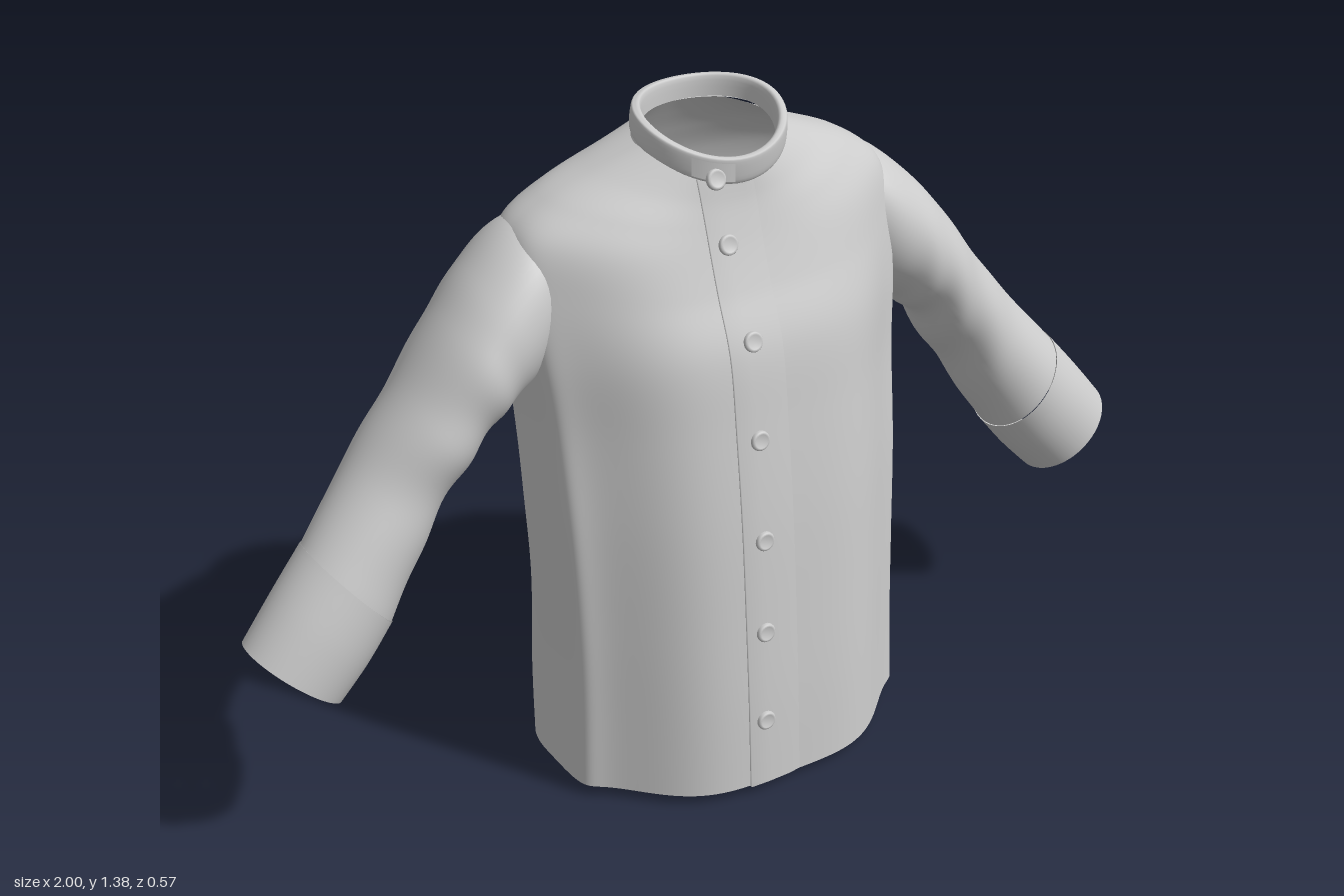
import * as THREE from 'three';

const cloth = new THREE.MeshStandardMaterial({ color: 0xcccccc, side: THREE.DoubleSide });

// Grid surface from fn(u, v) -> [x, y, z]; closed surfaces share their seam vertices
function surface(name, fn, nu, nv, closed = true) {
  const pos = [], idx = [], cols = closed ? nu : nu + 1;
  for (let j = 0; j <= nv; j++)
    for (let i = 0; i < cols; i++) pos.push(...fn(i / nu, j / nv));
  for (let j = 0; j < nv; j++)
    for (let i = 0; i < nu; i++) {
      const a = j * cols + i, b = j * cols + (i + 1) % cols, c = a + cols, d = b + cols;
      idx.push(a, c, b, b, c, d);
    }
  const g = new THREE.BufferGeometry();
  g.setAttribute('position', new THREE.Float32BufferAttribute(pos, 3));
  g.setIndex(idx);
  g.computeVertexNormals();
  const m = new THREE.Mesh(g, cloth);
  m.name = name;
  return m;
}

// Smooth interpolation through a list of sections
function sample(rows, v) {
  const n = rows.length - 1, f = Math.min(v, 1) * n, i = Math.min(Math.floor(f), n - 1), t = f - i;
  const p = k => rows[Math.max(0, Math.min(n, k))];
  return rows[0].map((_, k) => {
    const a = p(i - 1)[k], b = p(i)[k], c = p(i + 1)[k], d = p(i + 2)[k];
    return b + 0.5 * t * (c - a + t * (2 * a - 5 * b + 4 * c - d + t * (3 * (b - c) + d - a)));
  });
}
const spow = (x, p) => Math.sign(x) * Math.abs(x) ** p;
const bump = (x, w) => Math.exp(-(x * x) / (w * w));

// Body sections: y at side, front, back; half width; z at front, back, side; roundness of front, back
const BODY = [
  [0.025, 0.02, 0.0, 0.385, 0.28, -0.25, -0.03, 0.55, 0.8],
  [0.2, 0.2, 0.2, 0.38, 0.272, -0.275, -0.03, 0.55, 0.8],
  [0.38, 0.38, 0.38, 0.38, 0.26, -0.245, -0.03, 0.55, 0.8],
  [0.6, 0.6, 0.6, 0.385, 0.243, -0.255, -0.04, 0.55, 0.8],
  [0.8, 0.8, 0.8, 0.392, 0.22, -0.27, -0.06, 0.58, 0.8],
  [0.95, 0.95, 0.95, 0.405, 0.198, -0.28, -0.07, 0.62, 0.8],
  [1.08, 1.06, 1.08, 0.415, 0.155, -0.275, -0.08, 0.7, 0.8],
  [1.175, 1.13, 1.17, 0.4, 0.13, -0.25, -0.085, 0.8, 0.82],
  [1.232, 1.18, 1.24, 0.33, 0.115, -0.215, -0.08, 0.9, 0.88],
  [1.275, 1.22, 1.29, 0.235, 0.105, -0.185, -0.06, 0.95, 0.95],
  [1.312, 1.255, 1.335, 0.15, 0.1, -0.155, -0.03, 1, 1],
];
function bodyPoint(angle, v) {
  const [ys, yf, yb, hx, zf, zb, zs, pf, pb] = sample(BODY, v);
  const c = Math.cos(angle), s = Math.sin(angle), p = s > 0 ? pf : pb;
  const k = spow(c, p), x = hx * k, y = ys + ((s > 0 ? yf : yb) - ys) * s * s;
  let z = zs + (s > 0 ? zf - zs : zs - zb) * spow(s, p);
  if (s > 0) {
    // front panels slant back from the centre to a corner at each side
    z -= (zf - zs) * 2.1 * (1 - pf) * k ** 4 * (1 - k ** 4);
  } else {
    // folds swagging across the back between the armholes
    z += 0.013 * s * s * bump(y - 0.42, 0.28) * Math.sin(24 * (y - 0.8 * Math.hypot(x - 0.12, 0.1)));
  }
  return [x, y, z];
}
// Point on the front of the body at a chosen x
function frontPoint(x, v, lift = 0) {
  const s = sample(BODY, v);
  const [px, py, pz] = bodyPoint(Math.acos(spow(x / s[3], 1 / s[7])), v);
  return [px, py, pz + lift];
}

// Sleeve sections: upper edge x, y; lower edge x, y; half depth; centre z
const SLEEVE = [
  [0.31, 1.215, 0.36, 0.92, 0.11, -0.095],
  [0.40, 1.183, 0.385, 0.88, 0.138, -0.095],
  [0.48, 1.118, 0.43, 0.855, 0.142, -0.085],
  [0.55, 1.04, 0.48, 0.82, 0.138, -0.075],
  [0.64, 0.92, 0.545, 0.745, 0.126, -0.075],
  [0.74, 0.795, 0.63, 0.61, 0.116, -0.073],
  [0.86, 0.655, 0.715, 0.475, 0.108, -0.045],
];
const CUFF = [
  [0.86, 0.655, 0.715, 0.475, 0.108, -0.045],
  [0.93, 0.575, 0.77, 0.405, 0.106, -0.038],
  [1.0, 0.49, 0.83, 0.34, 0.1, -0.033],
];
function sleevePoint(rows, side, u, v, grow, wrinkle) {
  const [tx, ty, bx, by, hz, cz] = sample(rows, v), a = u * Math.PI * 2;
  const env = Math.sin(Math.PI * v * v) ** 2;
  const under = 0.5 - 0.5 * Math.cos(a);
  const r = grow + wrinkle * env * (0.2 + under) * Math.sin(30 * v + 2.2 * Math.sin(a + side) + side);
  const c = Math.cos(a) * r, s = Math.sin(a) * r;
  return [side * ((tx + bx) / 2 + c * (tx - bx) / 2), (ty + by) / 2 + c * (ty - by) / 2, cz + s * hz];
}

// Collar cross-section: half width, z front, z back, y front, y back
const COLLAR = [
  [0.146, 0.098, -0.153, 1.25, 1.328],
  [0.153, 0.105, -0.159, 1.262, 1.338],
  [0.151, 0.111, -0.156, 1.298, 1.372],
  [0.145, 0.108, -0.15, 1.306, 1.378],
  [0.133, 0.095, -0.139, 1.302, 1.375],
  [0.13, 0.088, -0.138, 1.262, 1.335],
];
function collarPoint(u, v) {
  const [hx, zf, zb, yf, yb] = sample(COLLAR, v), a = u * Math.PI * 2;
  const c = Math.cos(a), s = Math.sin(a);
  return [hx * c, (yf + yb) / 2 + s * (yf - yb) / 2 + 0.02 * c * c, (zf + zb) / 2 + s * (zf - zb) / 2];
}

export function createModel() {
  const shirt = new THREE.Group();
  shirt.name = 'shirt';
  shirt.add(surface('body', (u, v) => bodyPoint(u * Math.PI * 2, v), 200, 90));
  shirt.add(surface('collarBand', collarPoint, 64, 20));

  // Sleeves with turned cuffs
  for (const side of [1, -1]) {
    const label = side > 0 ? 'left' : 'right';
    shirt.add(surface(label + 'Sleeve', (u, v) => sleevePoint(SLEEVE, side, u, v, 1, 0.05), 48, 70));
    shirt.add(surface(label + 'Cuff', (u, v) => sleevePoint(CUFF, side, u, v, 1.015 - 0.015 * v, 0), 48, 12));
  }

  // Overlapping front edge, blending into the body on one side
  const edge = [[-0.09, 0], [-0.09, 0.006], [-0.05, 0.006], [0, 0.004], [0.04, -0.002]];
  shirt.add(surface('placket', (u, v) => {
    const [x, lift] = edge[Math.round(u * 4)];
    return frontPoint(x, v * 0.985, lift);
  }, 4, 80, false));

  // Collar tab closing over the neck
  shirt.add(surface('collarTab', (u, v) => {
    const a = THREE.MathUtils.lerp(1.75, 2.3, u), [x, y, z] = collarPoint(a / (2 * Math.PI), 0.3);
    return [x, y - 0.018 + 0.036 * v, z + 0.006];
  }, 8, 3, false));

  // Buttons, turned to the slope of the chest
  const disc = new THREE.LatheGeometry(
    [[0, 0.003], [0.011, 0.003], [0.014, 0.006], [0.018, 0.005], [0.02, 0.002], [0.02, -0.004]]
      .map(([r, h]) => new THREE.Vector2(r, h)), 20);
  for (const [x, y] of [[-0.055, 0.17], [-0.05, 0.37], [-0.045, 0.57], [-0.043, 0.78],
    [-0.04, 0.975], [-0.053, 1.15], [-0.065, 1.275]]) {
    let lo = 0, hi = 1;
    for (let k = 0; k < 24; k++) {
      const mid = (lo + hi) / 2;
      if (frontPoint(x, mid)[1] < y) lo = mid; else hi = mid;
    }
    const p = frontPoint(x, lo, 0.008), q = frontPoint(x, Math.max(0, lo - 0.02), 0.008);
    const button = new THREE.Mesh(disc, cloth);
    button.name = 'button';
    button.position.set(p[0], y, p[2] + (y > 1.25 ? 0.012 : 0));
    button.rotation.x = Math.PI / 2 - Math.atan2(q[2] - p[2], p[1] - q[1]);
    shirt.add(button);
  }
  return shirt;
}
